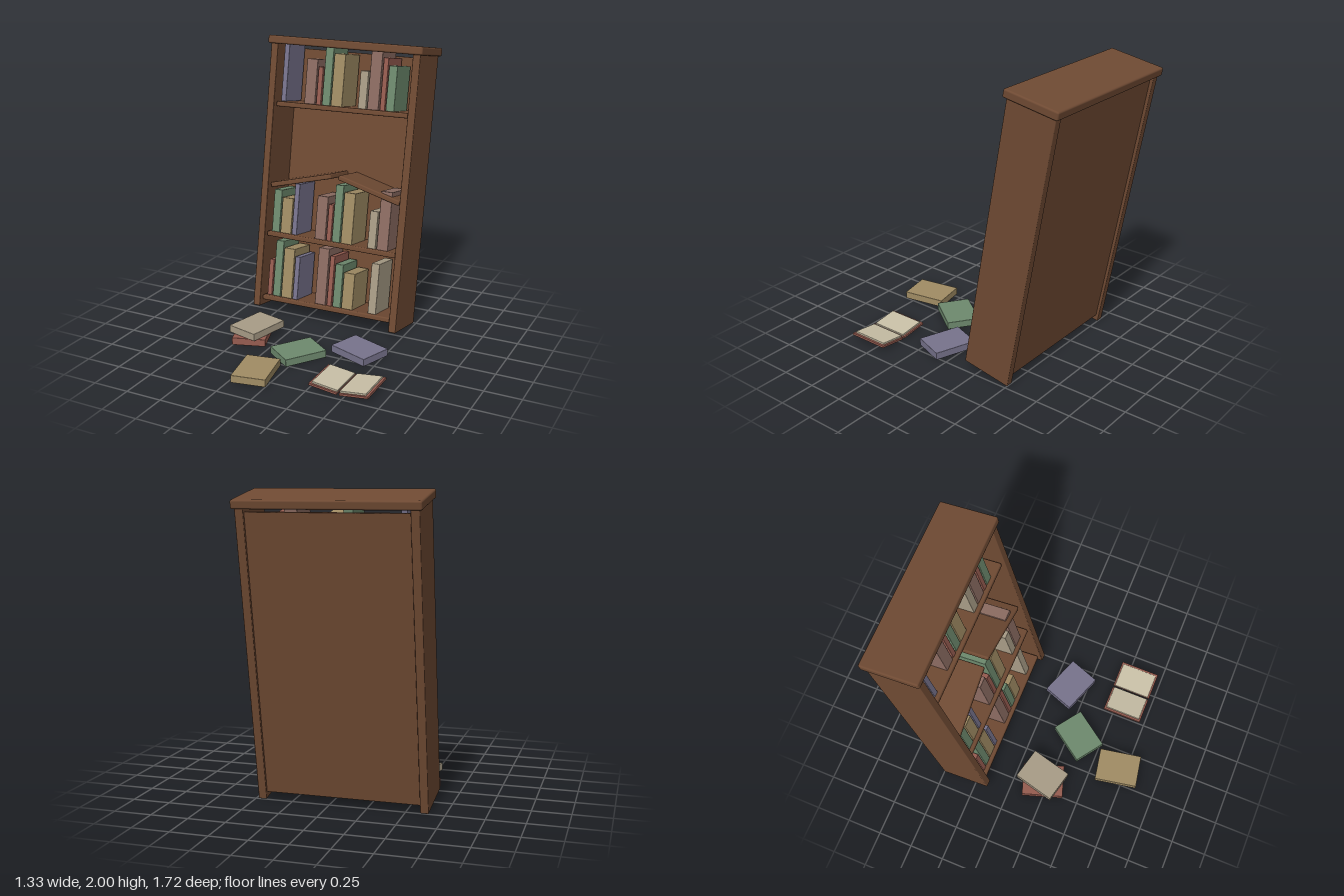
import * as THREE from 'three';
import { RoundedBoxGeometry } from 'three/addons/geometries/RoundedBoxGeometry.js';

const COLORS = {
  wood: 0x6f4a33, red: 0x965c50, green: 0x6e8a6e, tan: 0xa08c64,
  purple: 0x77738c, mauve: 0x8c6c62, cream: 0xa89c86, page: 0xc8bfa6,
};

const TILT = THREE.MathUtils.degToRad(10);
const BOOK_FRONT = 0.31;
const BOOK_DEPTH = 0.24;
const WIDTHS = { red: 0.036, green: 0.061, tan: 0.085, purple: 0.038, mauve: 0.083, cream: 0.06 };

// Rows of standing books: [colour, left edge, height of the front top edge above the floor]
const ROWS = [
  { name: 'lowerBook', base: 0.085, books: [
    ['red', -0.56, 0.4], ['green', -0.515, 0.545], ['tan', -0.446, 0.5], ['purple', -0.352, 0.45],
    ['mauve', -0.17, 0.545], ['red', -0.076, 0.5], ['green', -0.03, 0.45], ['tan', 0.04, 0.4],
    ['cream', 0.245, 0.5]] },
  { name: 'middleBook', base: 0.55, books: [
    ['green', -0.56, 0.91], ['tan', -0.49, 0.86], ['purple', -0.397, 0.97], ['mauve', -0.212, 0.91],
    ['red', -0.12, 0.86], ['green', -0.076, 1.005], ['tan', -0.006, 0.96], ['cream', 0.2, 0.86],
    ['mauve', 0.27, 1.005]] },
  { name: 'upperBook', base: 1.507, books: [
    ['purple', -0.56, 1.94], ['mauve', -0.375, 1.85], ['red', -0.282, 1.8], ['green', -0.236, 1.94],
    ['tan', -0.167, 1.9], ['cream', 0.04, 1.8], ['mauve', 0.11, 1.94], ['red', 0.204, 1.9],
    ['green', 0.248, 1.85]] },
];

// Closed books on the floor: [name, colour, x, z, base, width, depth, turn in degrees]
const FLOOR = [
  ['fallenRedBook', 'red', -0.44, 0.21, 0, 0.233, 0.3, 18],
  ['fallenCreamBook', 'cream', -0.417, 0.195, 0.052, 0.233, 0.303, -14],
  ['fallenGreenBook', 'green', -0.022, 0.328, 0, 0.233, 0.304, -35.4],
  ['fallenPurpleBook', 'purple', 0.337, 0.125, 0, 0.304, 0.233, -20],
  ['fallenTanBook', 'tan', -0.142, 0.69, 0, 0.234, 0.308, 10.5],
];

export function createModel() {
  const model = new THREE.Group();
  model.name = 'fallingBookcase';

  const mats = {};
  for (const [name, color] of Object.entries(COLORS)) {
    mats[name] = new THREE.MeshStandardMaterial({ color });
    mats[name].name = name;
  }

  // Softly rounded block, placed by its centre
  function block(parent, name, color, [w, h, d], [x, y, z], radius = 0.004) {
    const mesh = new THREE.Mesh(new RoundedBoxGeometry(w, h, d, 2, radius), mats[color]);
    mesh.name = name;
    mesh.position.set(x, y, z);
    parent.add(mesh);
    return mesh;
  }

  // Bookcase leaning back on its rear bottom edge
  const bookcase = new THREE.Group();
  bookcase.name = 'bookcase';
  bookcase.position.set(0, 0, -0.5);
  bookcase.rotation.x = -TILT;
  model.add(bookcase);

  const MID = -0.083;
  for (const [name, side] of [['leftSide', 1], ['rightSide', -1]]) {
    block(bookcase, name, 'wood', [0.054, 1.915, 0.355], [MID + side * 0.537, 0.9575, 0.1775], 0.006);
  }
  block(bookcase, 'topBoard', 'wood', [1.164, 0.057, 0.395], [MID, 1.938, 0.178], 0.012);
  block(bookcase, 'backPanel', 'wood', [1.022, 1.842, 0.02], [MID, 0.966, 0.03], 0.002);

  // Whole shelves, each sagging slightly: [name, height of centre, roll]
  const shelves = [['bottomShelf', 0.071, 0.7], ['middleShelf', 0.539, -0.4], ['topShelf', 1.493, 0.8]];
  for (const [name, y, roll] of shelves) {
    const shelf = block(bookcase, name, 'wood', [1.005, 0.036, 0.305], [MID, y, 0.1825], 0.01);
    shelf.rotation.z = THREE.MathUtils.degToRad(roll);
  }

  // Snapped shelf, its halves rising toward the break
  const halves = [['brokenShelfRight', -0.348, 0.96, 14.5], ['brokenShelfLeft', 0.18, 0.96, -14.5]];
  for (const [name, x, y, roll] of halves) {
    const half = block(bookcase, name, 'wood', [0.485, 0.036, 0.305], [x, y, 0.1825], 0.01);
    half.rotation.z = THREE.MathUtils.degToRad(roll);
  }

  // Standing books
  for (const { name, base, books } of ROWS) {
    for (const [color, left, topY] of books) {
      const top = (topY - BOOK_FRONT * Math.sin(TILT)) / Math.cos(TILT);
      const w = WIDTHS[color];
      block(bookcase, name, color, [w, top - base, BOOK_DEPTH],
        [left + w / 2, (top + base) / 2, BOOK_FRONT - BOOK_DEPTH / 2], 0.003);
    }
  }

  // Closed books on the floor
  for (const [name, color, x, z, base, w, d, turn] of FLOOR) {
    const book = block(model, name, color, [w, 0.052, d], [x, base + 0.026, z], 0.003);
    book.rotation.y = THREE.MathUtils.degToRad(turn);
  }

  // Open book lying in a shallow V
  const openBook = new THREE.Group();
  openBook.name = 'openBook';
  openBook.position.set(0.457, 0, 0.57);
  model.add(openBook);
  for (const side of [-1, 1]) {
    const leaf = new THREE.Group();
    leaf.name = side > 0 ? 'leftLeaf' : 'rightLeaf';
    leaf.position.set(side * 0.008, 0.002, 0);
    leaf.rotation.z = side * 0.12;
    block(leaf, 'cover', 'red', [0.2, 0.016, 0.29], [side * 0.1, 0.008, 0], 0.003);
    block(leaf, 'pages', 'page', [0.181, 0.014, 0.264], [side * 0.0925, 0.021, 0], 0.003);
    openBook.add(leaf);
  }

  return model;
}
